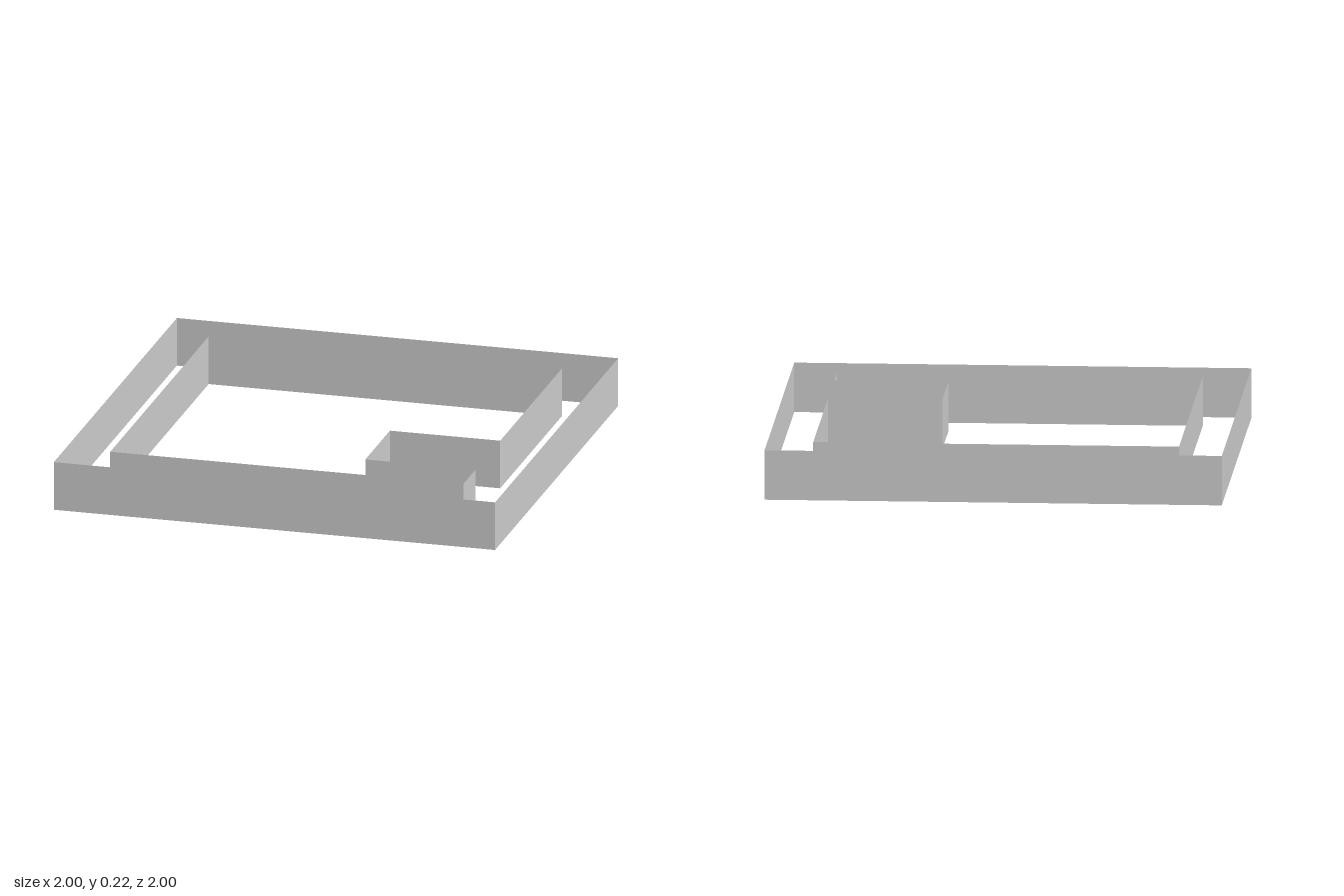
import * as THREE from 'three';

const HEIGHT = 0.22;
const material = new THREE.MeshStandardMaterial({
  color: 0xcccccc, flatShading: true, side: THREE.DoubleSide,
});

// Closed run of thin upright panels along a plan of [x, z] corners
function wallLoop(name, plan) {
  const group = new THREE.Group();
  group.name = name;
  plan.forEach(([x0, z0], i) => {
    const [x1, z1] = plan[(i + 1) % plan.length];
    const panel = new THREE.Mesh(
      new THREE.PlaneGeometry(Math.hypot(x1 - x0, z1 - z0), HEIGHT), material);
    panel.name = `${name}Panel${i + 1}`;
    panel.position.set((x0 + x1) / 2, HEIGHT / 2, (z0 + z1) / 2);
    panel.rotation.y = Math.atan2(z0 - z1, x1 - x0);
    group.add(panel);
  });
  return group;
}

export function createModel() {
  const model = new THREE.Group();
  model.name = 'walledEnclosure';

  // Square outer wall, open above and below
  model.add(wallLoop('outerWall', [[-1, 1], [1, 1], [1, -1], [-1, -1]]));

  // Inner wall, facing inward, with a rectangular recess on its +x side
  model.add(wallLoop('innerWall', [
    [-0.8, 0.8], [-0.8, -0.8], [0.8, -0.8], [0.8, 0.2],
    [0.3, 0.2], [0.3, 0.6], [0.8, 0.6], [0.8, 0.8],
  ]));

  return model;
}
